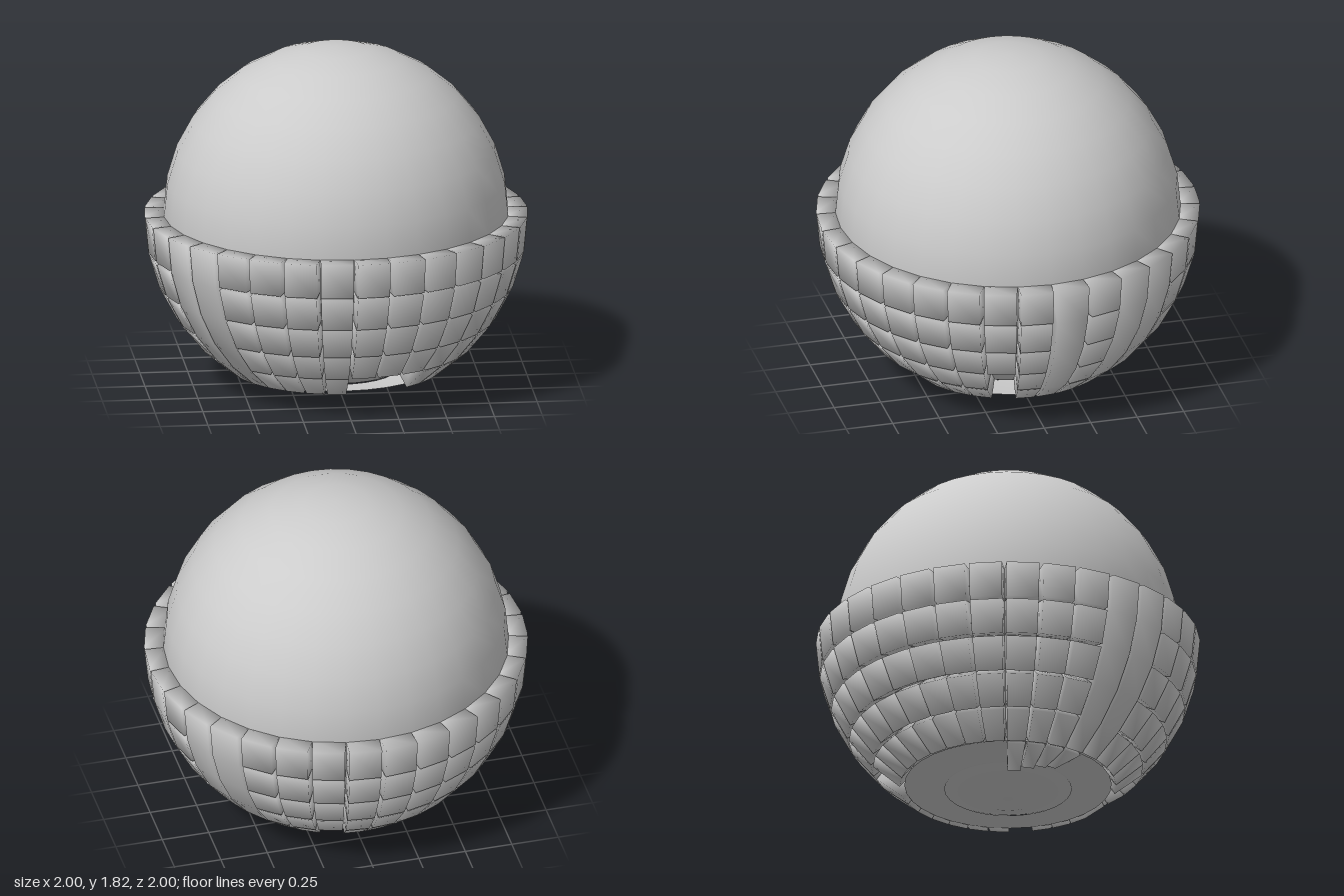
import * as THREE from 'three';
import { mergeGeometries } from 'three/addons/utils/BufferGeometryUtils.js';

const CENTRE_Y = 0.93, INNER = 0.89, OUTER = 1.0, COLUMNS = 32;
const STEP = (Math.PI * 2) / COLUMNS;
const GAP = 0.012;

const polar = (r, p, t) => [
  r * Math.sin(p) * Math.sin(t),
  CENTRE_Y + r * Math.cos(p),
  r * Math.sin(p) * Math.cos(t),
];

// Block standing on the ball in one column, swept down from row to row;
// smooth shared normals give it a pillowy look
function block(column, firstRow, lastRow, lowerOuter = OUTER) {
  const a = column * STEP, b = a + STEP;
  const pos = [], index = [];
  const n = lastRow - firstRow;
  for (let i = 0; i <= n; i++) {
    const p = Math.PI / 2 + (firstRow + i) * STEP;
    let q = p;
    if (i === 0 && firstRow > 0) q += GAP * 0.5;
    if (i === n) q -= GAP * 0.8;
    const outer = i === n ? lowerOuter : OUTER;
    const g = GAP;
    pos.push(...polar(INNER, p, a), ...polar(outer, q, a + g),
      ...polar(outer, q, b - g), ...polar(INNER, p, b));
  }
  for (let i = 0; i < n; i++) {
    for (let j = 0; j < 4; j++) {
      const k = (j + 1) % 4, u = i * 4, v = u + 4;
      index.push(u + j, v + j, v + k, u + j, v + k, u + k);
    }
  }
  const e = n * 4;
  index.push(0, 1, 2, 0, 2, 3, e, e + 2, e + 1, e, e + 3, e + 2);
  const geometry = new THREE.BufferGeometry();
  geometry.setAttribute('position', new THREE.Float32BufferAttribute(pos, 3));
  geometry.setIndex(index);
  geometry.computeVertexNormals();
  return geometry;
}

export function createModel() {
  const group = new THREE.Group();
  const material = new THREE.MeshStandardMaterial({ color: 0xcccccc });
  const add = (name, geometry, mat = material) => {
    const mesh = new THREE.Mesh(geometry, mat);
    mesh.name = name;
    group.add(mesh);
    return mesh;
  };

  // Smooth ball
  add('ball', new THREE.SphereGeometry(0.9, 32, 16)).position.y = CENTRE_Y;

  // Five rows of tiles around the lower half, with a few undivided columns
  const stripColumns = [8, 10, 11, 26, 27];
  const missing = ['0,4', '1,4', '2,4', '6,3', '6,4', '14,4'];
  const strips = [];
  for (let row = 0; row < 5; row++) {
    const tiles = [];
    for (let c = 0; c < COLUMNS; c++) {
      if (stripColumns.includes(c) || missing.includes(`${c},${row}`)) continue;
      tiles.push(block(c, row, row + 1));
    }
    add(`tileRow${row + 1}`, mergeGeometries(tiles));
  }
  for (const c of stripColumns) strips.push(block(c, 0, 5));
  add('longStrips', mergeGeometries(strips));

  // Uneven extra blocks reaching under the ball
  const extras = [0.995, 0.965, 0.94, 0.92].map((r, i) => block(23 + i, 5, 6, r));
  add('lowerBlocks', mergeGeometries(extras));

  // Shallow ring closing the underside between ball and tiles
  const ringMaterial = material.clone();
  ringMaterial.side = THREE.DoubleSide;
  const profile = [[0.33, 0.09], [0.43, 0.097], [0.54, 0.115]];
  add('undersideRing', new THREE.LatheGeometry(
    profile.map(([x, y]) => new THREE.Vector2(x, y)), COLUMNS), ringMaterial);

  return group;
}
